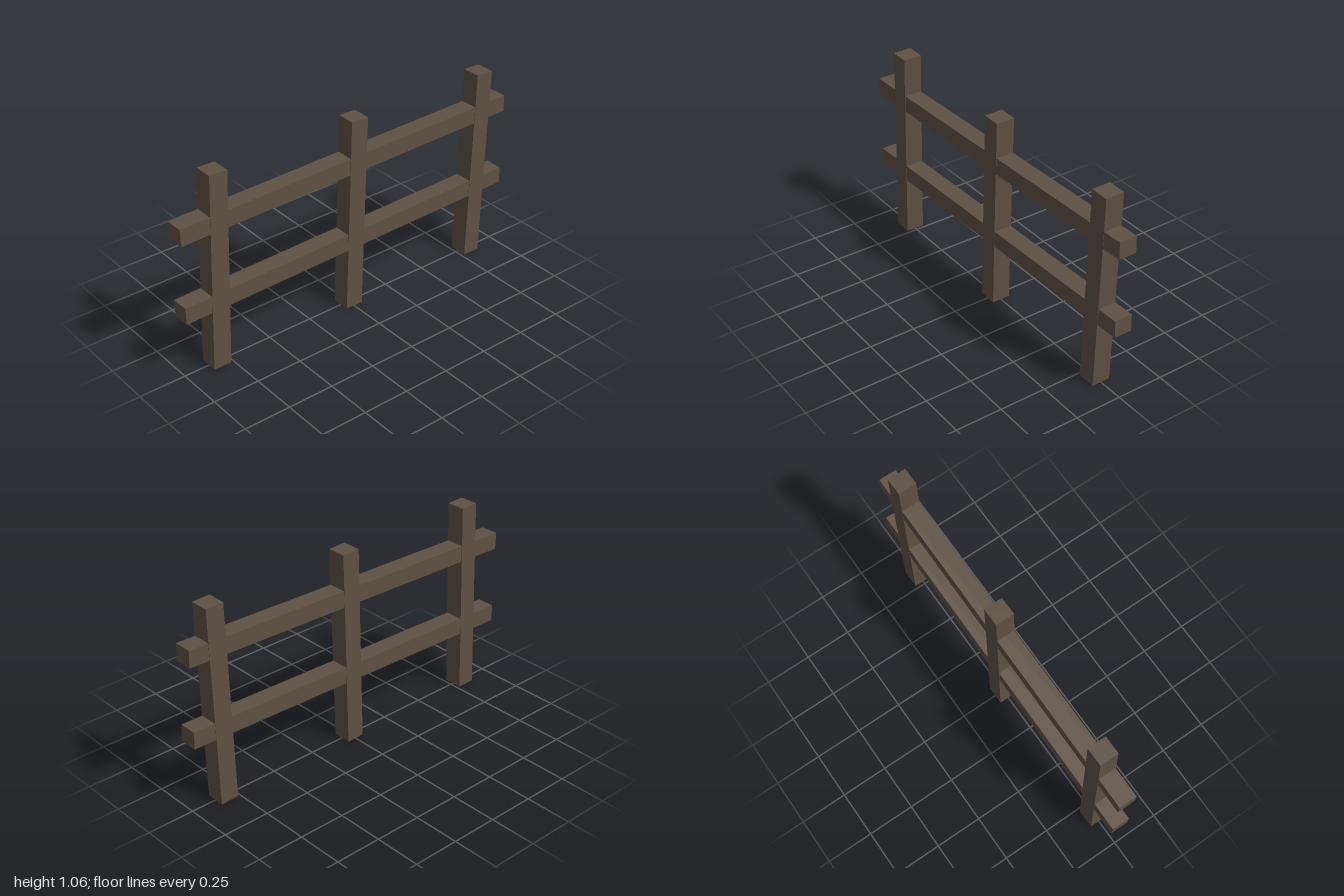
import * as THREE from 'three';

export function createModel() {
  const fence = new THREE.Group();
  fence.name = 'fence';
  const wood = new THREE.MeshStandardMaterial({ color: 0x5f5144 });
  wood.name = 'weatheredWood';

  const beam = (name, w, h, d, x, y, tilt) => {
    const mesh = new THREE.Mesh(new THREE.BoxGeometry(w, h, d), wood);
    mesh.name = name;
    mesh.position.set(x, y, 0);
    mesh.rotation.z = tilt;
    fence.add(mesh);
  };

  // Three posts leaning slightly towards +x
  ['rightPost', 'middlePost', 'leftPost'].forEach((name, i) =>
    beam(name, 0.098, 1.06, 0.1, -0.798 + i * 0.8145, 0.5315, -0.031));

  // Two rails through the posts, rising slightly towards +x
  beam('lowerRail', 1.998, 0.09, 0.096, 0, 0.394, 0.0225);
  beam('upperRail', 1.998, 0.09, 0.096, 0, 0.8215, 0.0225);

  return fence;
}
